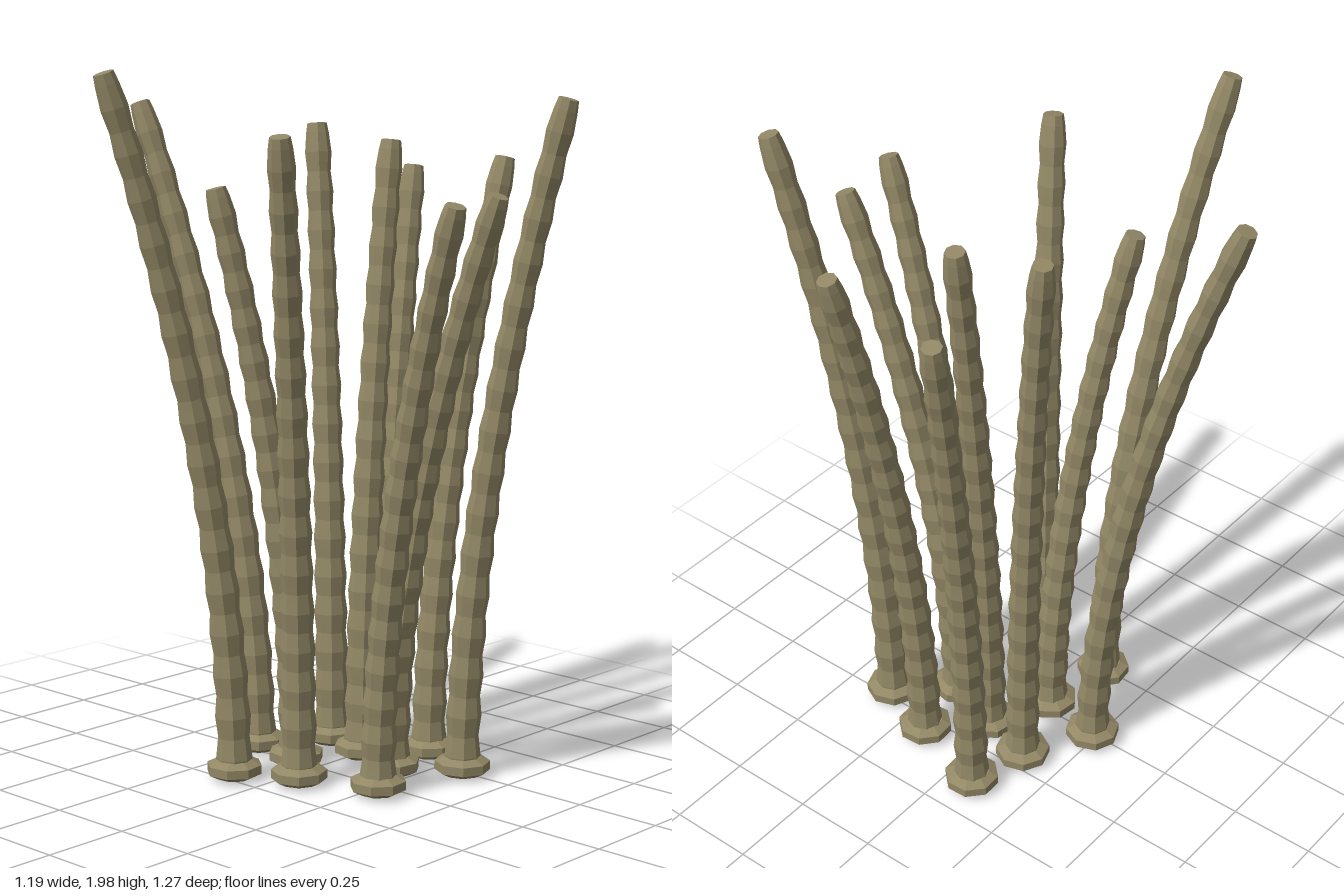
import * as THREE from 'three';

const SIDES = 8;
const BULGES = 16;
const ROWS = BULGES * 4;

// base x, base z, tip x, tip z, height
const STALKS = [
  [0.01, -0.24, -0.09, -0.61, 1.88],
  [-0.23, -0.10, -0.57, -0.23, 1.98],
  [-0.02, -0.06, -0.19, -0.20, 1.66],
  [-0.145, 0.07, -0.34, 0.19, 1.82],
  [-0.06, 0.29, -0.11, 0.59, 1.65],
  [0.10, 0.20, 0.12, 0.545, 1.66],
  [0.23, 0.35, 0.33, 0.61, 1.91],
  [0.30, 0.165, 0.55, 0.22, 1.73],
  [0.16, 0.03, 0.31, 0.00, 1.78],
  [0.205, -0.13, 0.27, -0.25, 1.82],
  [0.38, -0.08, 0.57, -0.14, 1.69],
];

// A cylinder bent outwards along a curve, with a tapering, rippled radius
function stalkGeometry(leanX, leanZ, height) {
  const geometry = new THREE.CylinderGeometry(1, 1, 1, SIDES, ROWS);
  const position = geometry.attributes.position;
  const up = new THREE.Vector3(0, 1, 0);
  const tangent = new THREE.Vector3();
  const offset = new THREE.Vector3();
  const turn = new THREE.Quaternion();
  const bottom = 0.04;
  for (let i = 0; i < position.count; i++) {
    const t = THREE.MathUtils.clamp(position.getY(i) + 0.5, 0, 1);
    const bend = Math.pow(t, 1.8);
    const slope = 1.8 * Math.pow(t, 0.8);
    let radius = THREE.MathUtils.lerp(0.048, 0.035, t);
    radius *= 1 + 0.07 * Math.sin(t * BULGES * Math.PI * 2);
    if (t > 1 - 0.5 / ROWS) radius *= 0.8; // rounded tip
    tangent.set(leanX * slope, height - bottom, leanZ * slope).normalize();
    turn.setFromUnitVectors(up, tangent);
    offset.set(position.getX(i) * radius, 0, position.getZ(i) * radius).applyQuaternion(turn);
    position.setXYZ(i,
      leanX * bend + offset.x,
      bottom + (height - bottom) * t + offset.y,
      leanZ * bend + offset.z);
  }
  geometry.computeVertexNormals();
  return geometry;
}

export function createModel() {
  const model = new THREE.Group();
  model.name = 'stalkCluster';
  const olive = new THREE.MeshStandardMaterial({ color: 0x928866, flatShading: true });
  olive.name = 'olive stem';

  // Faceted foot under each stalk
  const footGeometry = new THREE.LatheGeometry([
    [0, 0.008], [0.05, 0.012], [0.079, 0.027], [0.079, 0.052], [0.052, 0.065], [0, 0.067],
  ].map(([r, y]) => new THREE.Vector2(r, y)), SIDES);

  STALKS.forEach(([x, z, tipX, tipZ, height], i) => {
    const group = new THREE.Group();
    group.name = `stalk${i + 1}`;
    group.position.set(x, -0.005, z);

    const stem = new THREE.Mesh(stalkGeometry(tipX - x, tipZ - z, height), olive);
    stem.name = 'stem';
    const foot = new THREE.Mesh(footGeometry, olive);
    foot.name = 'foot';
    foot.rotation.y = i * 1.3;
    group.add(stem, foot);
    model.add(group);
  });
  return model;
}
